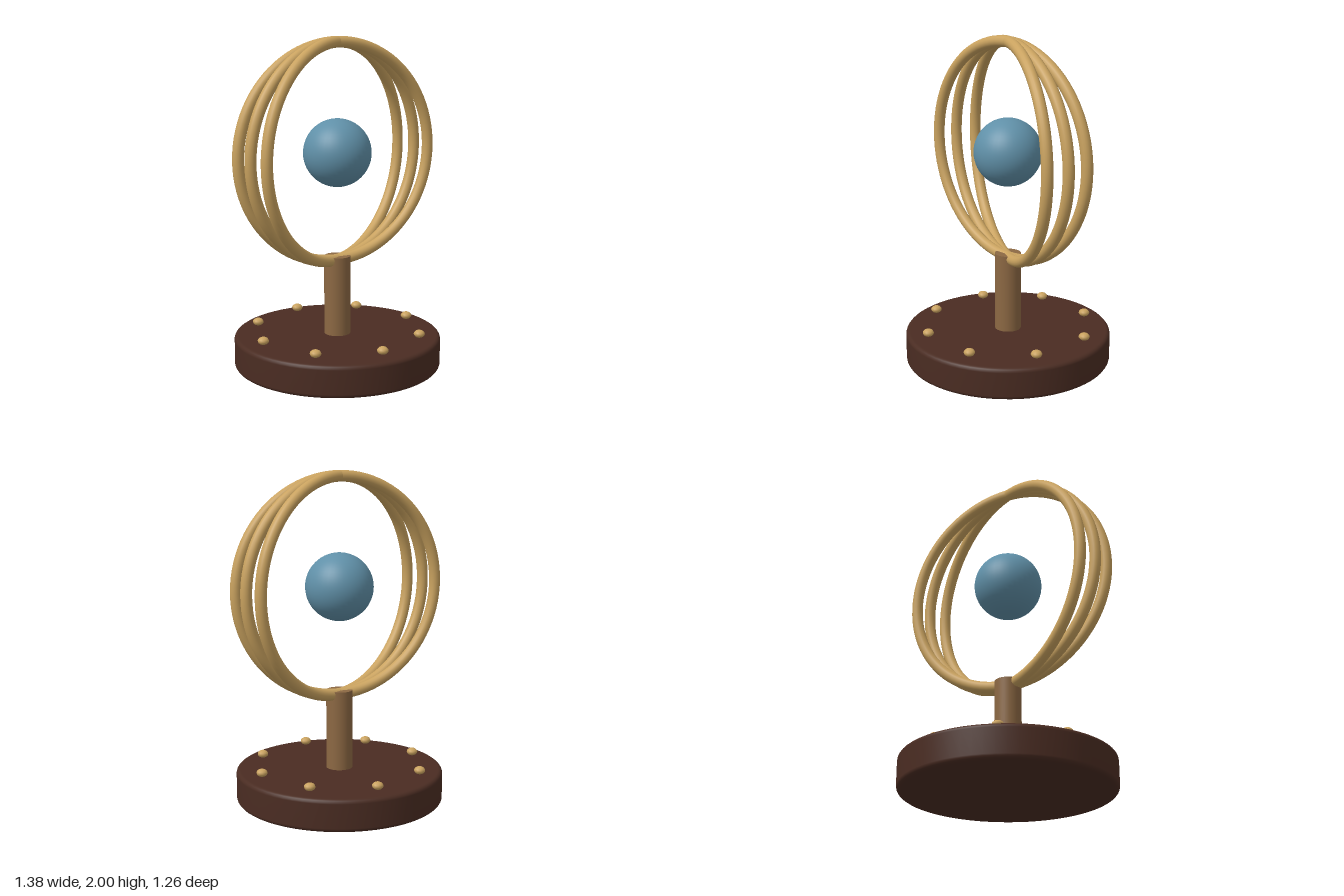
import * as THREE from 'three';

const mat = (name, color) => {
  const m = new THREE.MeshStandardMaterial({ color });
  m.name = name;
  return m;
};

export function createModel() {
  const brass = mat('brass', 0xc9a25f);
  const darkWood = mat('dark wood', 0x4a2c22);
  const bronze = mat('bronze', 0x8c6843);
  const blue = mat('globe blue', 0x6090a8);

  const group = new THREE.Group();
  const add = (name, geometry, material, x, y, z) => {
    const mesh = new THREE.Mesh(geometry, material);
    mesh.name = name;
    mesh.position.set(x, y, z);
    group.add(mesh);
    return mesh;
  };

  // Round base with softened rims
  const R = 0.63, H = 0.195, b = 0.025;
  const profile = [new THREE.Vector2(0, 0)];
  const rim = (cy, from) => {
    for (let i = 0; i <= 4; i++) {
      const a = from + (i / 4) * Math.PI / 2;
      profile.push(new THREE.Vector2(R - b + b * Math.cos(a), cy + b * Math.sin(a)));
    }
  };
  rim(b, -Math.PI / 2);
  rim(H - b, 0);
  profile.push(new THREE.Vector2(0, H));
  add('base', new THREE.LatheGeometry(profile, 64), darkWood, 0, 0, 0);

  // Post
  add('post', new THREE.CylinderGeometry(0.08, 0.08, 0.49, 32), bronze, 0, 0.435, 0);

  // Three rings fanned about the vertical axis
  const ringGeometry = new THREE.TorusGeometry(0.655, 0.034, 16, 96);
  for (let i = 0; i < 3; i++) {
    add('ring' + (i + 1), ringGeometry, brass, 0, 1.31, 0).rotation.y = i * 0.2;
  }

  // Central globe
  add('globe', new THREE.SphereGeometry(0.205, 40, 28), blue, 0, 1.31, 0);

  // Eight flattened studs around the base
  const studGeometry = new THREE.SphereGeometry(0.034, 10, 8).scale(1, 0.7, 1);
  for (let i = 0; i < 8; i++) {
    const a = (i / 8) * Math.PI * 2;
    add('stud' + (i + 1), studGeometry, brass, 0.51 * Math.cos(a), 0.225, 0.51 * Math.sin(a));
  }
  return group;
}
